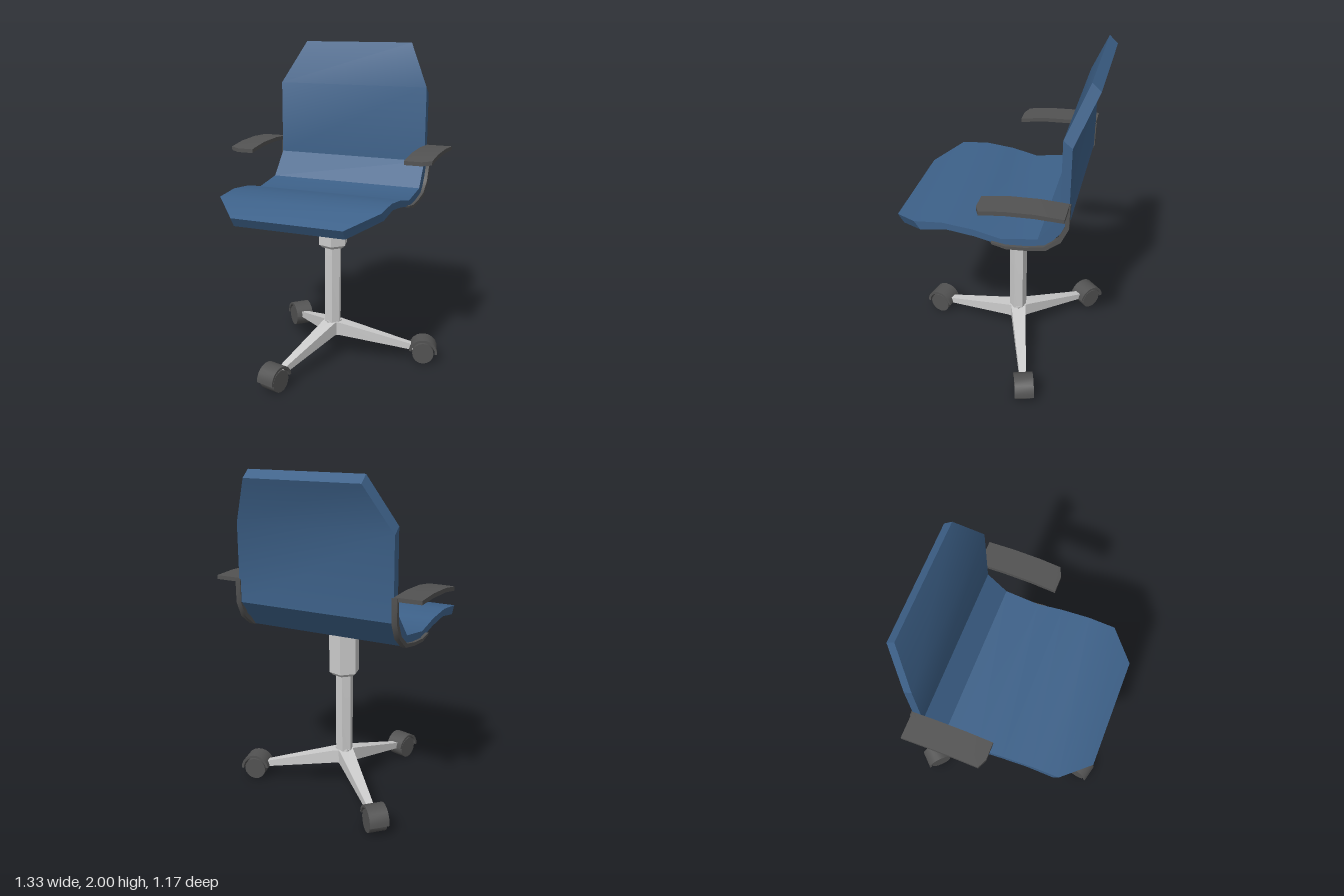
import * as THREE from 'three';
import { toCreasedNormals } from 'three/addons/utils/BufferGeometryUtils.js';

const grey = new THREE.MeshStandardMaterial({ color: 0xcccccc });
const dark = new THREE.MeshStandardMaterial({ color: 0x525252 });
const blue = new THREE.MeshStandardMaterial({ color: 0x3d6189 });

function mesh(name, geometry, material, crease = 0.5) {
  const m = new THREE.Mesh(toCreasedNormals(geometry, crease), material);
  m.name = name;
  return m;
}

// Solid strip running front to back through stations
// [zTop, yTop, zBottom, yBottom, xMin, xMax]
function strip(stations) {
  const pos = [], idx = [];
  for (const [zt, yt, zb, yb, x0, x1] of stations) {
    pos.push(x1, yt, zt, x1, yb, zb, x0, yb, zb, x0, yt, zt);
  }
  const last = (stations.length - 1) * 4;
  for (let i = 0; i < last; i += 4) {
    for (let j = 0; j < 4; j++) {
      const a = i + j, b = i + (j + 1) % 4;
      idx.push(a, b, b + 4, a, b + 4, a + 4);
    }
  }
  idx.push(0, 2, 1, 0, 3, 2, last, last + 1, last + 2, last, last + 2, last + 3);
  const g = new THREE.BufferGeometry();
  g.setAttribute('position', new THREE.Float32BufferAttribute(pos, 3));
  g.setIndex(idx);
  return g;
}

// One-piece bent seat and backrest, ends narrowed by cut corners
function seatShell() {
  return mesh('seatAndBack', strip([
    [0.58, 1.06, 0.545, 1.005, 0.34],
    [0.42, 1.135, 0.385, 1.085, 0.5],
    [0.255, 1.15, 0.23, 1.108, 0.5],
    [0.08, 1.132, 0.07, 1.088, 0.5],
    [-0.08, 1.095, -0.1, 1.05, 0.5],
    [-0.29, 1.125, -0.325, 1.07, 0.5],
    [-0.405, 1.275, -0.455, 1.23, 0.495],
    [-0.405, 1.735, -0.455, 1.695, 0.495],
    [-0.515, 2.0, -0.565, 1.955, 0.36],
  ].map(([zt, yt, zb, yb, w]) => [zt, yt, zb, yb, -w, w])), blue, 0.45);
}

// Arm pad and the strap that curves down under the seat edge
function armrest(side) {
  const g = new THREE.Group();
  g.name = side > 0 ? 'leftArmrest' : 'rightArmrest';
  const span = (a, b) => side > 0 ? [a, b] : [-b, -a];
  g.add(mesh('armPad', strip([
    [0.025, 1.352, 0.025, 1.328, ...span(0.495, 0.6)],
    [0.0, 1.357, 0.0, 1.333, ...span(0.495, 0.655)],
    [-0.13, 1.375, -0.13, 1.35, ...span(0.495, 0.655)],
    [-0.3, 1.381, -0.3, 1.356, ...span(0.495, 0.655)],
    [-0.455, 1.373, -0.455, 1.35, ...span(0.495, 0.655)],
  ]), dark));
  g.add(mesh('armStrap', strip([
    [-0.03, 1.075, -0.035, 1.063],
    [-0.11, 1.062, -0.115, 1.043],
    [-0.22, 1.07, -0.22, 1.05],
    [-0.325, 1.09, -0.34, 1.07],
    [-0.4, 1.15, -0.42, 1.135],
    [-0.438, 1.235, -0.46, 1.225],
    [-0.44, 1.355, -0.462, 1.37],
  ].map(s => [...s, ...span(0.485, 0.518)])), dark));
  return g;
}

// Leg pointing along -z with a hooded caster at its tip
function leg(angle) {
  const g = new THREE.Group();
  g.name = 'leg';
  g.add(mesh('legArm', strip([
    [0.03, 0.26, 0.03, 0.17, -0.05, 0.05],
    [-0.05, 0.25, -0.05, 0.165, -0.045, 0.045],
    [-0.53, 0.112, -0.53, 0.075, -0.02, 0.02],
  ]), grey, 0.3));

  const wheel = new THREE.CylinderGeometry(0.068, 0.068, 0.105, 16).rotateZ(Math.PI / 2);
  wheel.translate(0, 0.068, -0.585);
  g.add(mesh('casterWheel', wheel, dark));

  const arc = [];
  for (let i = 0; i <= 10; i++) {
    const t = 0.15 + (Math.PI - 0.1) * i / 10, c = Math.cos(t), s = Math.sin(t);
    arc.push([-0.585 + 0.09 * c, 0.072 + 0.09 * s,
      -0.585 + 0.075 * c, 0.072 + 0.075 * s, -0.058, 0.058]);
  }
  g.add(mesh('casterHood', strip(arc), dark));
  g.rotation.y = Math.atan2(-Math.cos(angle), -Math.sin(angle));
  return g;
}

export function createModel() {
  const model = new THREE.Group();
  model.name = 'swivelChair';

  // Upper part, swivelled very slightly
  const upper = new THREE.Group();
  upper.name = 'upperChair';
  upper.add(seatShell(), armrest(1), armrest(-1));
  upper.rotation.y = 0.016;
  model.add(upper);

  // Base: six-sided column and three legs
  const base = new THREE.Group();
  base.name = 'base';
  base.position.set(0.01, 0, -0.078);
  const column = [[0, 0.17], [0.05, 0.17], [0.054, 0.25], [0.054, 0.75],
    [0.07, 0.75], [0.094, 0.77], [0.094, 1.045], [0, 1.045]];
  const post = mesh('column', new THREE.LatheGeometry(
    column.map(p => new THREE.Vector2(...p)), 6), grey, 0.3);
  post.rotation.y = Math.PI / 12;
  base.add(post);
  for (let i = 0; i < 3; i++) {
    base.add(leg(THREE.MathUtils.degToRad(103 + i * 120)));
  }
  model.add(base);
  return model;
}
